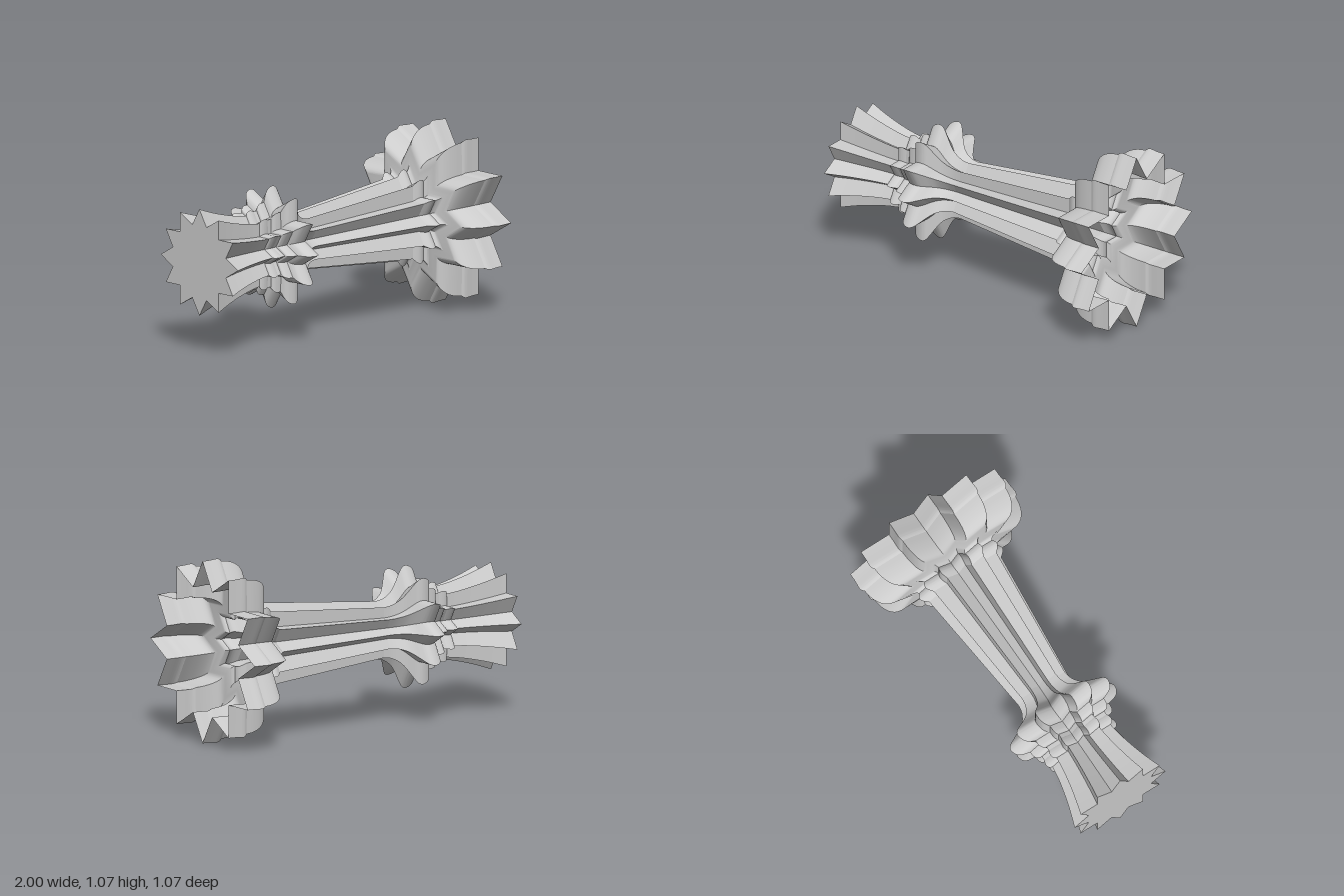
import * as THREE from 'three';
import { toCreasedNormals } from 'three/addons/utils/BufferGeometryUtils.js';

const POINTS = 12;      // points of the star section
const VALLEY = 0.71;    // valley radius / tip radius
const AXIS_Y = 0.537;

// Sections of the shell along x: [x, tip radius], with a crease between sections
const sections = {
  flaredFoot: [[-1, 0.313], [-0.9, 0.278], [-0.8, 0.249], [-0.7, 0.226], [-0.62, 0.214]],
  footBead: [[-0.62, 0.214], [-0.613, 0.232], [-0.59, 0.24], [-0.567, 0.234], [-0.56, 0.23]],
  fillet: [[-0.56, 0.23], [-0.535, 0.23]],
  collarBead: [[-0.535, 0.23], [-0.53, 0.252], [-0.51, 0.268], [-0.475, 0.271]],
  bulge: [[-0.475, 0.271], [-0.462, 0.32], [-0.44, 0.347], [-0.405, 0.358], [-0.378, 0.345],
    [-0.355, 0.305], [-0.33, 0.255], [-0.3, 0.212], [-0.25, 0.18], [-0.2, 0.17]],
  stem: [[-0.2, 0.17], [0.61, 0.248]],
  neckBead: [[0.61, 0.248], [0.63, 0.272], [0.65, 0.284], [0.67, 0.28], [0.685, 0.267]],
  cup: [[0.685, 0.267], [0.7, 0.29], [0.71, 0.35], [0.718, 0.42], [0.735, 0.461],
    [0.77, 0.493], [0.82, 0.513], [0.87, 0.52]],
  rim: [[0.87, 0.52], [0.88, 0.53], [0.9, 0.537], [0.95, 0.533], [1, 0.532]],
};

// Corner i of the star, in the yz plane
function corner(i, radius) {
  const a = (i * Math.PI) / POINTS;
  const r = i % 2 ? radius * VALLEY : radius;
  return [r * Math.cos(a), r * Math.sin(a)];
}

// Loft the star through a run of [x, radius] stations
function loftStar(profile) {
  const curve = new THREE.SplineCurve(profile.map(([x, r]) => new THREE.Vector2(x, r)));
  const stations = profile.length > 2 ? curve.getPoints((profile.length - 1) * 4) : curve.getPoints(1);
  const positions = [];
  const index = [];
  const n = POINTS * 2;
  for (const s of stations)
    for (let i = 0; i < n; i++) positions.push(s.x, ...corner(i, s.y));
  for (let k = 0; k < stations.length - 1; k++)
    for (let i = 0; i < n; i++) {
      const a = k * n + i, b = k * n + ((i + 1) % n);
      index.push(a, b, a + n, b, b + n, a + n);
    }
  const geometry = new THREE.BufferGeometry();
  geometry.setAttribute('position', new THREE.Float32BufferAttribute(positions, 3));
  geometry.setIndex(index);
  return toCreasedNormals(geometry, Math.PI / 6);
}

export function createModel() {
  const group = new THREE.Group();
  group.name = 'starVase';
  const material = new THREE.MeshStandardMaterial({ color: 0xcccccc, side: THREE.DoubleSide });

  const add = (name, geometry) => {
    const mesh = new THREE.Mesh(geometry, material);
    mesh.name = name;
    mesh.position.y = AXIS_Y;
    group.add(mesh);
    return mesh;
  };

  // Thin hollow shell, open at the +x rim
  for (const [name, profile] of Object.entries(sections)) add(name, loftStar(profile));

  // Flat star closing the foot, facing -x
  const star = new THREE.Shape();
  for (let i = 0; i < POINTS * 2; i++) {
    const [y, z] = corner(i, sections.flaredFoot[0][1]);
    if (i) star.lineTo(z, y);
    else star.moveTo(z, y);
  }
  star.closePath();
  const base = add('footCap', new THREE.ShapeGeometry(star).rotateY(-Math.PI / 2));
  base.position.x = -1;

  return group;
}
